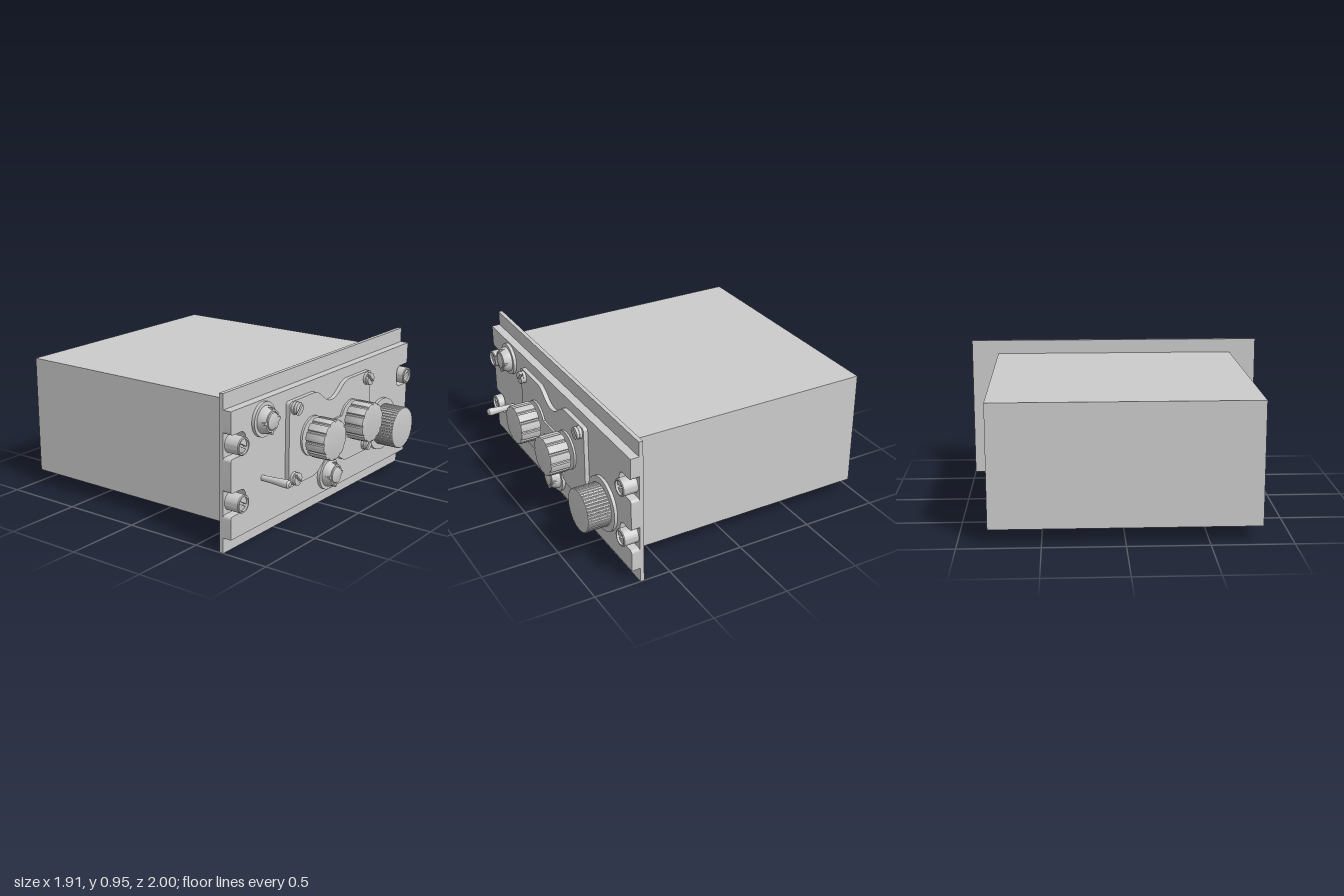
import * as THREE from 'three';
import { toCreasedNormals } from 'three/addons/utils/BufferGeometryUtils.js';

const material = new THREE.MeshStandardMaterial({ color: 0xcccccc });

function add(parent, name, geometry, x = 0, y = 0, z = 0) {
  const mesh = new THREE.Mesh(geometry, material);
  mesh.name = name;
  mesh.position.set(x, y, z);
  parent.add(mesh);
  return mesh;
}

function subgroup(parent, name, x, y, z) {
  const g = new THREE.Group();
  g.name = name;
  g.position.set(x, y, z);
  parent.add(g);
  return g;
}

// Extrusion along +z starting at z = 0, with an optional small bevel
function slab(shape, depth, bevel = 0, curveSegments = 10) {
  const g = new THREE.ExtrudeGeometry(shape, {
    depth: depth - 2 * bevel, bevelEnabled: bevel > 0, bevelSize: bevel,
    bevelOffset: -bevel, bevelThickness: bevel, bevelSegments: 2, curveSegments,
  });
  return toCreasedNormals(g.translate(0, 0, bevel), 0.6);
}

// Turned part with its axis along +z; profile is [radius, height] pairs
function turned(profile, segments = 40) {
  const points = profile.map(([r, h]) => new THREE.Vector2(r, h));
  return toCreasedNormals(new THREE.LatheGeometry(points, segments).rotateX(Math.PI / 2), 0.5);
}

// Front panel outline with round-ended slots open to both sides
function panelShape() {
  const s = new THREE.Shape();
  const w = 1, lo = 0.095, hi = 0.86, h = 0.07, r = 0.05, inner = 0.86;
  const slots = [0.305, 0.65];
  s.moveTo(-w, lo).lineTo(w, lo);
  for (const y of slots) {
    s.lineTo(w, y - h - 0.02);
    s.quadraticCurveTo(w, y - h, w - 0.02, y - h);
    s.lineTo(inner + r, y - h);
    s.quadraticCurveTo(inner, y - h, inner, y - h + r);
    s.lineTo(inner, y + h - r);
    s.quadraticCurveTo(inner, y + h, inner + r, y + h);
    s.lineTo(w - 0.02, y + h);
    s.quadraticCurveTo(w, y + h, w, y + h + 0.02);
  }
  s.lineTo(w, hi).lineTo(-w, hi);
  for (const y of [...slots].reverse()) {
    s.lineTo(-w, y + h + 0.02);
    s.quadraticCurveTo(-w, y + h, -w + 0.02, y + h);
    s.lineTo(-inner - r, y + h);
    s.quadraticCurveTo(-inner, y + h, -inner, y + h - r);
    s.lineTo(-inner, y - h + r);
    s.quadraticCurveTo(-inner, y - h, -inner - r, y - h);
    s.lineTo(-w + 0.02, y - h);
    s.quadraticCurveTo(-w, y - h, -w, y - h - 0.02);
  }
  s.closePath();
  return s;
}

// Central plate with waisted top and bottom edges
function waistedPlate() {
  const s = new THREE.Shape();
  const w = 0.463, lo = 0.255, hi = 0.79, r = 0.025;
  s.moveTo(-w + r, lo).lineTo(-0.2, lo);
  s.bezierCurveTo(-0.12, lo, -0.09, 0.34, 0, 0.34);
  s.bezierCurveTo(0.09, 0.34, 0.12, lo, 0.2, lo);
  s.lineTo(w - r, lo);
  s.quadraticCurveTo(w, lo, w, lo + r);
  s.lineTo(w, hi - r);
  s.quadraticCurveTo(w, hi, w - r, hi);
  s.lineTo(0.2, hi);
  s.bezierCurveTo(0.12, hi, 0.09, 0.7, 0, 0.7);
  s.bezierCurveTo(-0.09, 0.7, -0.12, hi, -0.2, hi);
  s.lineTo(-w + r, hi);
  s.quadraticCurveTo(-w, hi, -w, hi - r);
  s.lineTo(-w, lo + r);
  s.quadraticCurveTo(-w, lo, -w + r, lo);
  return s;
}

// Dumbbell-shaped dial plate lying under both knobs
function dialPlate() {
  const s = new THREE.Shape();
  const a = Math.asin(0.045 / 0.125);
  s.absarc(0.22, 0.525, 0.125, Math.PI + a, 3 * Math.PI - a, false);
  s.absarc(-0.22, 0.525, 0.125, a, 2 * Math.PI - a, false);
  s.closePath();
  return s;
}

// Round outline cut by evenly spaced shallow grooves
function flutedShape(radius, count, depth, groove) {
  const points = [];
  const step = (2 * Math.PI) / count;
  for (let i = 0; i < count; i++) {
    for (const [t, d] of [[-groove, 0], [-groove * 0.5, depth], [groove * 0.5, depth], [groove, 0], [0.5, 0]]) {
      const a = (i + t) * step;
      points.push(new THREE.Vector2(Math.cos(a) * (radius - d), Math.sin(a) * (radius - d)));
    }
  }
  return new THREE.Shape(points);
}

// Disc head split by a screwdriver slot
function slottedHead(parent, radius, base, top, slotDepth, angle) {
  const g = subgroup(parent, 'slottedHead', 0, 0, 0);
  g.rotation.z = angle;
  add(g, 'headBase', turned([[0, base], [radius, base], [radius, top - slotDepth], [0, top - slotDepth]]));
  const a = Math.asin(0.16);
  for (const turn of [0, Math.PI]) {
    const s = new THREE.Shape();
    s.absarc(0, 0, radius, a, Math.PI - a, false);
    s.closePath();
    add(g, 'headHalf', slab(s, slotDepth, 0.004), 0, 0, top - slotDepth).rotation.z = turn;
  }
}

// Indicator lamp: washer, tapered bezel with four ribs, rounded lens
function lamp(parent, x, y) {
  const g = subgroup(parent, 'indicatorLamp', x, y, 0.755);
  add(g, 'washer', turned([[0, 0], [0.105, 0], [0.105, 0.02], [0, 0.02]]));
  add(g, 'bezel', turned([[0.083, 0.02], [0.083, 0.035], [0.066, 0.073], [0.056, 0.073], [0.056, 0.045]]));
  add(g, 'lens', turned([[0.056, 0.04], [0.056, 0.065], [0.05, 0.077], [0.035, 0.082], [0, 0.084]]));
  for (let i = 0; i < 4; i++) {
    const a = (i * Math.PI) / 2;
    add(g, 'bezelRib', new THREE.BoxGeometry(0.024, 0.014, 0.054),
      Math.cos(a) * 0.068, Math.sin(a) * 0.068, 0.047).rotation.z = a;
  }
}

export function createModel() {
  const model = new THREE.Group();
  model.name = 'controlUnit';

  // Housing and mounting plate
  add(model, 'housing', new THREE.BoxGeometry(1.632, 0.762, 1.636), -0.139, 0.48, 0);
  add(model, 'mountingPlate', new THREE.BoxGeometry(0.026, 0.955, 2), 0.687, 0.4775, 0);

  // Control face: local x runs across the panel, local z points outwards
  const face = subgroup(model, 'controlFace', 0, 0, 0);
  face.rotation.y = Math.PI / 2;
  add(face, 'frontPanel', slab(panelShape(), 0.056), 0, 0, 0.699);
  add(face, 'waistedPlate', slab(waistedPlate(), 0.028), 0, 0, 0.755);
  add(face, 'dialPlate', slab(dialPlate(), 0.013, 0, 24), 0, 0, 0.783);

  // Panel fasteners in the side slots
  for (const side of [-1, 1]) {
    for (const y of [0.305, 0.65]) {
      const g = subgroup(face, 'panelFastener', side * 0.932, y, 0.7);
      add(g, 'collar', turned([[0.055, 0], [0.055, 0.091], [0.051, 0.096], [0.043, 0.096], [0.043, 0.06]]));
      slottedHead(g, 0.042, 0.02, 0.085, 0.022, side > 0 ? 0.35 : -0.5);
    }
  }

  // Plate screws
  for (const side of [-1, 1]) {
    for (const y of [0.305, 0.745]) {
      slottedHead(subgroup(face, 'plateScrew', side * 0.41, y, 0.755), 0.04, 0, 0.065, 0.02,
        (y > 0.5 ? 1 : -1) * side * -0.8);
    }
  }

  // Pair of fluted knobs on shafts
  for (const side of [-1, 1]) {
    const g = subgroup(face, 'selectorKnob', side * 0.22, 0.525, 0.78);
    add(g, 'shaft', turned([[0.05, 0], [0.05, 0.04]]));
    add(g, 'grip', slab(flutedShape(0.127, 12, 0.008, 0.14), 0.135, 0.008), 0, 0, 0.036);
  }

  // Large finely ribbed knob on a washer
  const large = subgroup(face, 'largeKnob', 0.655, 0.375, 0.755);
  add(large, 'washer', turned([[0, 0], [0.175, 0], [0.175, 0.02], [0, 0.02]], 56));
  add(large, 'grip', slab(flutedShape(0.138, 44, 0.003, 0.25), 0.152, 0.006), 0, 0, 0.02);

  // Indicator lamps
  lamp(face, -0.7, 0.745);
  lamp(face, 0, 0.215);

  // Toggle switch
  const toggle = subgroup(face, 'toggleSwitch', -0.695, 0.385, 0.755);
  add(toggle, 'lever', turned([[0.017, 0], [0.02, 0.08], [0.026, 0.165], [0.024, 0.184], [0.014, 0.194], [0, 0.196]], 24));

  return model;
}
